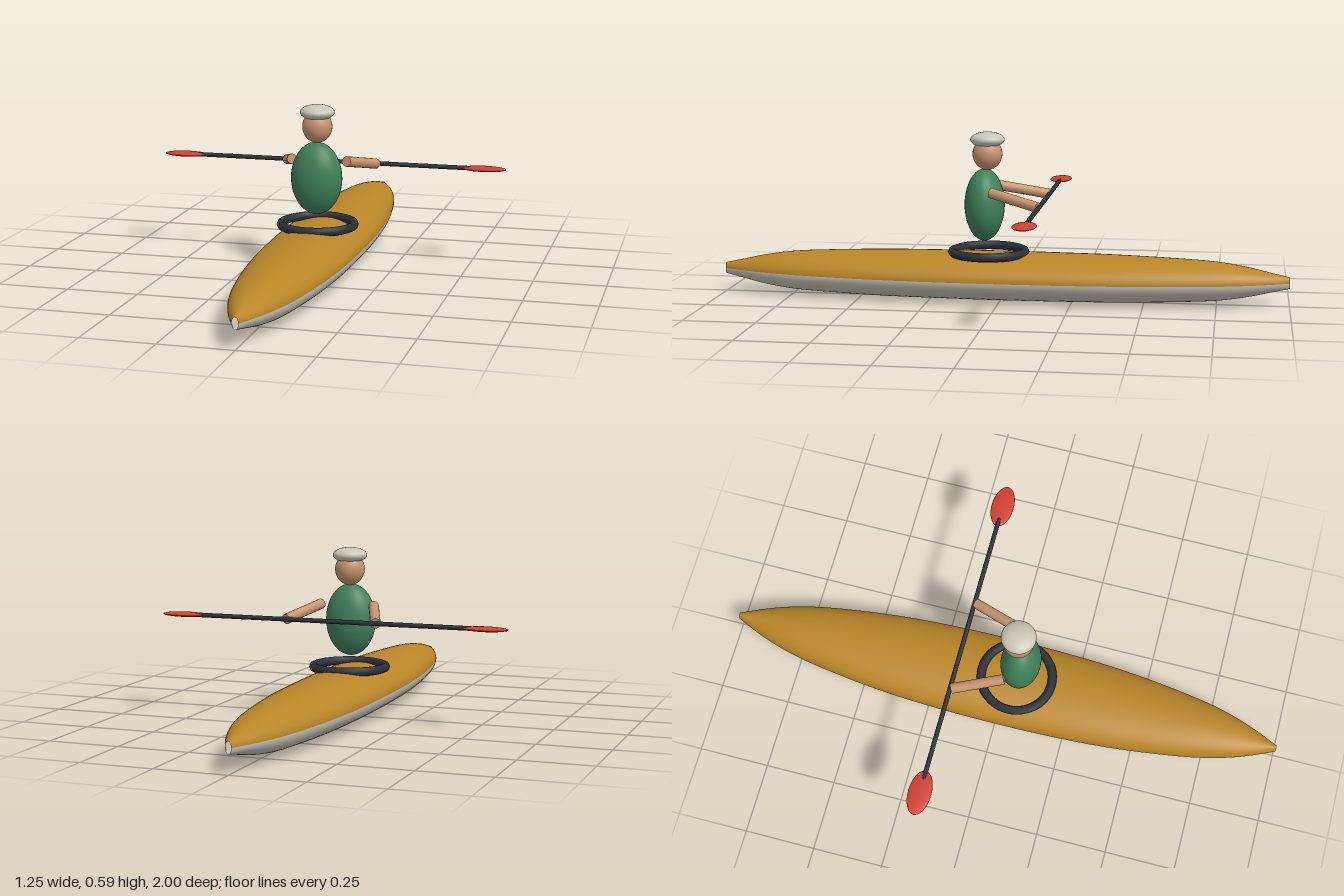
import * as THREE from 'three';

const paint = (color, side = THREE.FrontSide) => new THREE.MeshStandardMaterial({ color, side });

export function createModel() {
  const model = new THREE.Group();
  const skin = paint(0xc6936f), dark = paint(0x2b3038), red = paint(0xd04030), pale = paint(0xcac6b6);

  function add(name, geometry, material, x = 0, y = 0, z = 0) {
    const mesh = new THREE.Mesh(geometry, material);
    mesh.name = name;
    mesh.position.set(x, y, z);
    model.add(mesh);
    return mesh;
  }
  const ellipsoid = (rx, ry, rz) => new THREE.SphereGeometry(1, 32, 20).scale(rx, ry, rz);

  // Cylinder running from point a to point b
  function rod(name, a, b, radius, material) {
    const dir = b.clone().sub(a);
    const mesh = add(name, new THREE.CylinderGeometry(radius, radius, dir.length(), 16), material);
    mesh.position.copy(a).add(b).multiplyScalar(0.5);
    mesh.quaternion.setFromUnitVectors(new THREE.Vector3(0, 1, 0), dir.normalize());
  }

  // Boat shell: elliptical sections along z, open at both tips
  // Stations: |z|, half width, half height
  const stations = [
    [0, 0.162, 0.083], [0.2, 0.159, 0.082], [0.4, 0.148, 0.08], [0.6, 0.125, 0.074],
    [0.75, 0.099, 0.066], [0.85, 0.072, 0.052], [0.93, 0.042, 0.035], [1, 0.01, 0.02],
  ];
  const profile = (i) => new THREE.CatmullRomCurve3(
    [...stations.slice(1).reverse().map((s) => new THREE.Vector3(-s[0], s[i], 0)),
      ...stations.map((s) => new THREE.Vector3(s[0], s[i], 0))]);
  const widths = profile(1), heights = profile(2);
  const rings = 56, sides = 48;
  const positions = [], deckIndex = [], hullIndex = [];
  for (let r = 0; r <= rings; r++) {
    const w = widths.getPoint(r / rings), h = heights.getPoint(r / rings);
    for (let s = 0; s < sides; s++) {
      const a = (s / sides) * Math.PI * 2;
      positions.push(Math.cos(a) * w.y, 0.083 + Math.sin(a) * h.y, w.x);
      if (r === rings) continue;
      const p = r * sides + s, q = r * sides + (s + 1) % sides;
      (s < sides / 2 ? deckIndex : hullIndex).push(p, q, p + sides, q, q + sides, p + sides);
    }
  }
  const shell = new THREE.BufferGeometry();
  shell.setAttribute('position', new THREE.Float32BufferAttribute(positions, 3));
  shell.setIndex([...deckIndex, ...hullIndex]);
  shell.computeVertexNormals();
  const deck = shell.clone().setIndex(deckIndex);
  const hull = shell.clone().setIndex(hullIndex);
  add('deck', deck, paint(0xb98527, THREE.DoubleSide));
  add('hull', hull, paint(0xc4c0b4, THREE.DoubleSide));

  // Cockpit rim
  add('cockpitRim', new THREE.TorusGeometry(0.127, 0.016, 8, 48).rotateX(Math.PI / 2), dark, 0, 0.167, 0.046);

  // Paddler
  add('torso', ellipsoid(0.09, 0.127, 0.07), paint(0x3f8058), 0, 0.333, 0.06);
  add('head', ellipsoid(0.052, 0.056, 0.052), skin, 0, 0.512, 0.05);
  add('hat', ellipsoid(0.06, 0.027, 0.06), pale, 0, 0.562, 0.05);

  // Paddle shaft
  rod('paddleShaft', new THREE.Vector3(-0.5, 0.352, -0.15), new THREE.Vector3(0.5, 0.352, -0.15), 0.008, dark);

  // Arms and paddle blades, mirrored
  for (const [side, s] of [['left', 1], ['right', -1]]) {
    rod(side + 'Arm', new THREE.Vector3(s * 0.097, 0.389, 0.025), new THREE.Vector3(s * 0.163, 0.352, -0.145), 0.018, skin);
    add(side + 'Blade', ellipsoid(0.079, 0.008, 0.04), red, s * 0.548, 0.352, -0.15);
  }
  return model;
}
